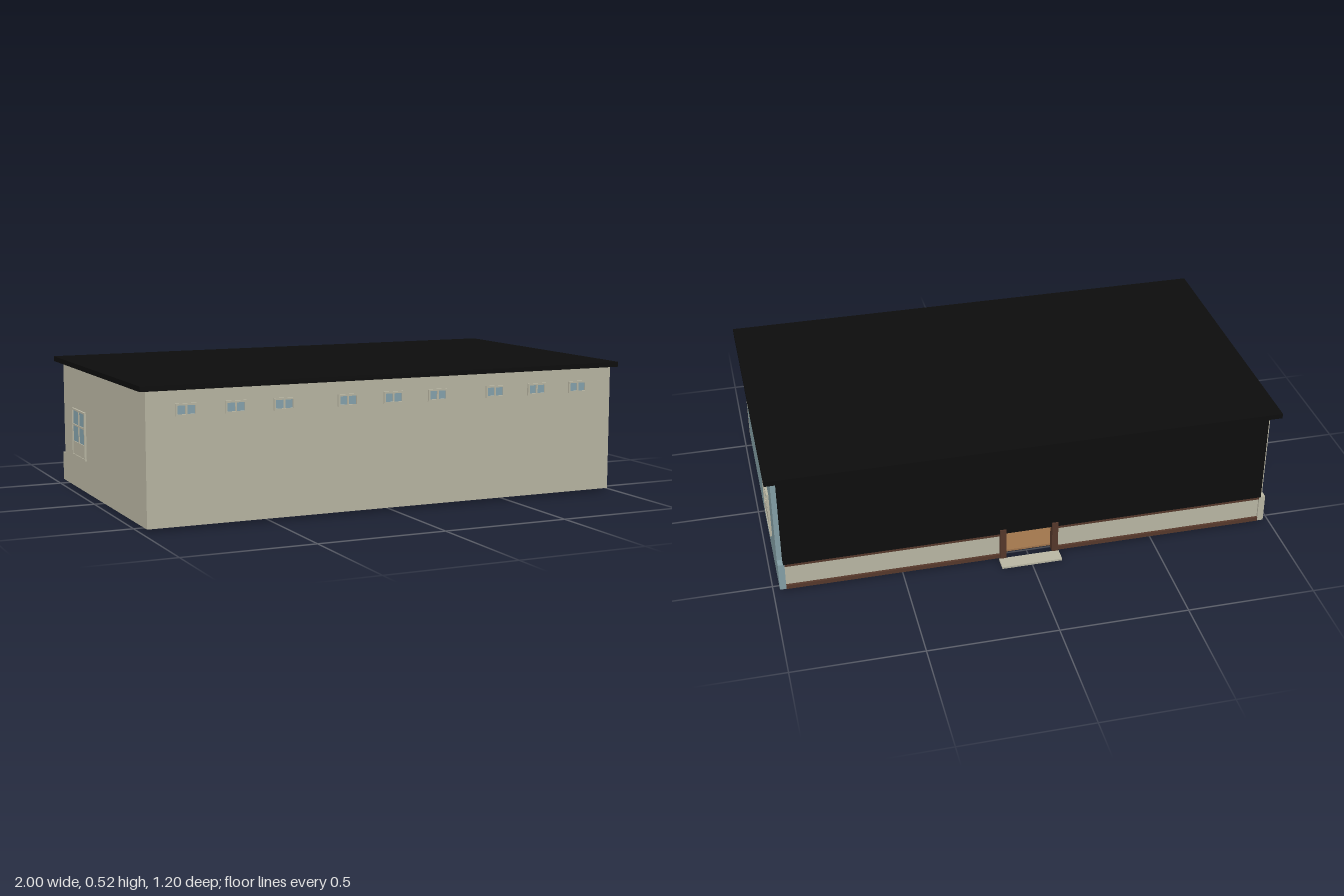
import * as THREE from 'three';

const material = (name, color, side = THREE.FrontSide) => {
  const m = new THREE.MeshStandardMaterial({ color, side });
  m.name = name;
  return m;
};

export function createModel() {
  const beige = material('beige plaster', 0xbab7a4);
  const blue = material('blue plaster', 0x849fa6);
  const glass = material('window glass', 0x86a3ad);
  const black = material('black cladding', 0x0d0d0d);
  const trim = material('dark brown wood', 0x56382b);
  const wood = material('brown floor', 0xa0754c);
  const model = new THREE.Group();
  model.name = 'building';

  // Box given by its limits on each axis
  function block(name, mat, [x0, x1], [y0, y1], [z0, z1], parent = model) {
    const mesh = new THREE.Mesh(new THREE.BoxGeometry(x1 - x0, y1 - y0, z1 - z0), mat);
    mesh.position.set((x0 + x1) / 2, (y0 + y1) / 2, (z0 + z1) / 2);
    mesh.name = name;
    parent.add(mesh);
    return mesh;
  }

  // Roof slab and front wall
  block('roof', black, [-1, 1], [0.505, 0.525], [-0.56, 0.6]);
  block('frontWall', beige, [-0.975, 0.975], [0.01, 0.505], [0.545, 0.58]);

  // Side walls, stepped back beside the cladding
  for (const [side, mat] of [[1, blue], [-1, beige]]) {
    const xs = side > 0 ? [0.95, 0.975] : [-0.975, -0.95];
    block('sideWall', mat, xs, [0.01, 0.505], [-0.505, 0.545]);
    block('sideWallFoot', mat, xs, [0.01, 0.125], [-0.538, -0.505]);
  }

  // Back: black upper cladding above a low wall with brown trim
  block('backCladding', black, [-0.955, 0.955], [0.125, 0.505], [-0.54, -0.505]);
  for (const side of [1, -1]) {
    const span = (a, b) => (side > 0 ? [a, b] : [-b, -a]);
    block('backLowWall', beige, span(0.1, 0.95), [0.01, 0.125], [-0.53, -0.505]);
    block('baseTrim', trim, span(0.115, 0.95), [0.01, 0.026], [-0.54, -0.53]);
    block('upperTrim', trim, span(0.115, 0.95), [0.113, 0.125], [-0.537, -0.53]);
    block('doorPost', trim, span(0.092, 0.116), [0.01, 0.145], [-0.545, -0.515]);
  }
  block('doorStep', beige, [-0.12, 0.12], [0, 0.008], [-0.597, -0.54]);

  // Floors of the three rooms, and the lining of the middle room
  const rooms = [['leftFloor', blue, 0.315, 0.95], ['middleFloor', wood, -0.315, 0.315],
    ['rightFloor', beige, -0.95, -0.315]];
  for (const [name, mat, x0, x1] of rooms) block(name, mat, [x0, x1], [0.01, 0.018], [-0.505, 0.545]);
  block('roomLining', wood, [-0.315, 0.315], [0.018, 0.505], [0.535, 0.545]);
  for (const x of [-0.315, 0.315]) {
    block('partition', wood, [x - 0.008, x + 0.008], [0.018, 0.505], [-0.505, 0.535]);
  }

  // Small dark feet showing under the floor
  const feet = [[0.83, 0.34], [0.86, 0.07], [0.63, 0.11], [0.63, 0.35], [-0.5, 0.23],
    [-0.46, 0.11], [-0.62, 0.115], [-0.825, 0.115], [-0.825, 0.345]];
  for (const [x, z] of feet) {
    block('floorFoot', trim, [x - 0.009, x + 0.009], [0.008, 0.012], [z - 0.009, z + 0.009]);
  }

  // Window facing +z, centred at its origin; sill is the height of the solid lower panel
  function makeWindow(name, w, h, bar, sill, crossbar) {
    const g = new THREE.Group();
    g.name = name;
    const x = w / 2, y = h / 2, low = -y + sill, d = [0, 0.008];
    block('glass', glass, [-x + bar, x - bar], [low, y - bar], [0, 0.002], g);
    block('frameTop', beige, [-x, x], [y - bar, y], d, g);
    block('frameBottom', beige, [-x, x], [-y, -y + bar], d, g);
    block('frameSide', beige, [-x, -x + bar], [-y + bar, y - bar], d, g);
    block('frameSide', beige, [x - bar, x], [-y + bar, y - bar], d, g);
    block('mullion', beige, [-bar / 2, bar / 2], [low, y - bar], [0, 0.006], g);
    if (sill > bar) block('lowerPanel', beige, [-x + bar, x - bar], [-y + bar, low], [0, 0.005], g);
    if (crossbar) {
      const c = (low + y) / 2;
      block('crossbar', beige, [-x + bar, x - bar], [c - bar / 2, c + bar / 2], [0, 0.0055], g);
    }
    model.add(g);
    return g;
  }

  // Three groups of three small high windows in front
  for (const centre of [-0.635, 0, 0.63]) {
    for (const i of [-1, 0, 1]) {
      makeWindow('frontWindow', 0.082, 0.046, 0.007, 0.007, false)
        .position.set(centre + i * 0.189, 0.432, 0.58);
    }
  }

  // One large window in each side wall
  for (const side of [1, -1]) {
    const win = makeWindow('sideWindow', 0.184, 0.194, 0.007, 0.06, true);
    win.position.set(side * 0.975, 0.236, -0.275);
    win.rotation.y = side * Math.PI / 2;
  }
  return model;
}
